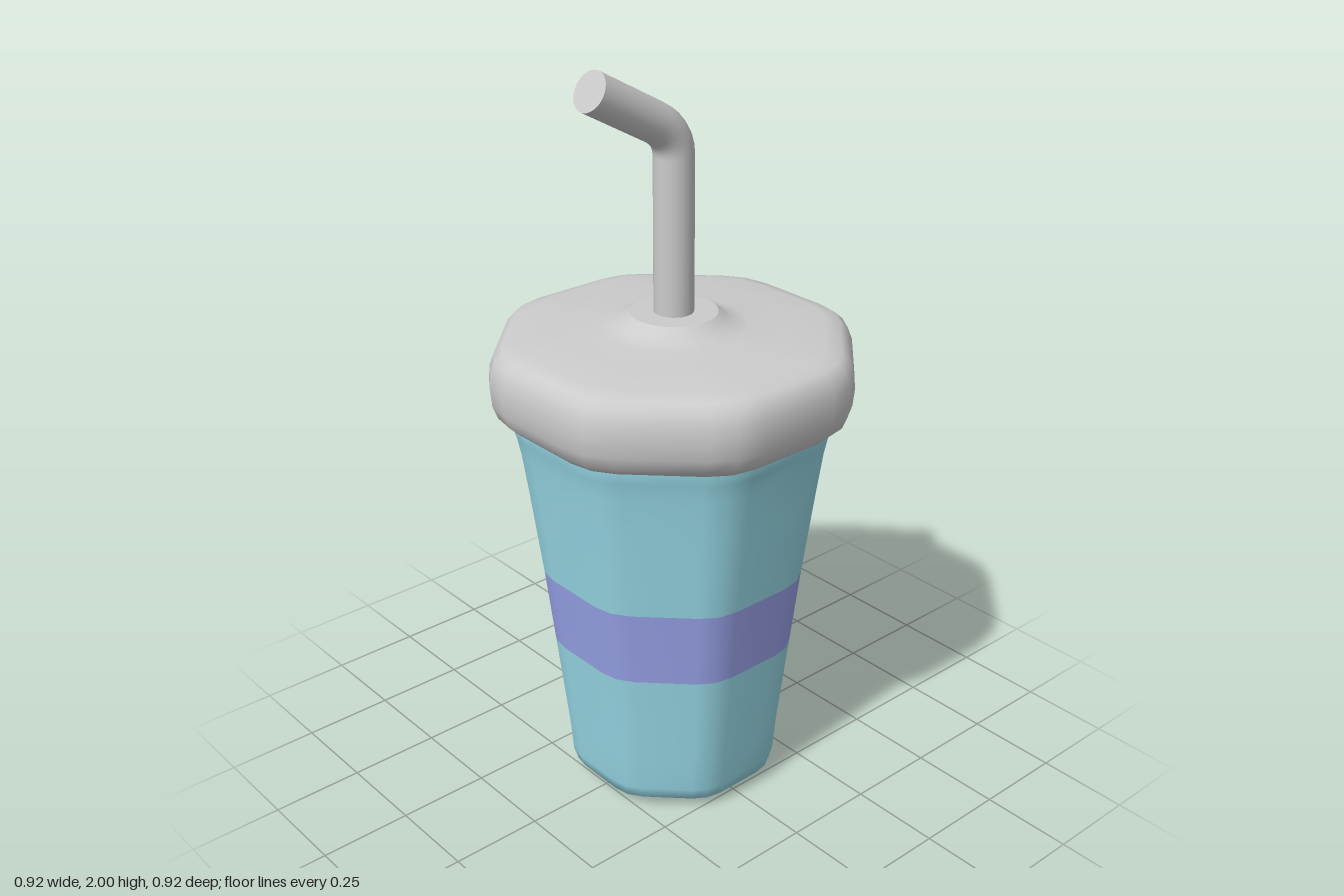
import * as THREE from 'three';

const material = (color) => new THREE.MeshStandardMaterial({ color });
const rad = THREE.MathUtils.degToRad;
const SIDES = 24;

// Point k of a cross-section: an octagon with softened corners, blended to a circle by `round`
function sectionPoint(k, r, y, round) {
  const corner = Math.floor(k / 3);
  const step = (k % 3) - 1;
  const angle = corner * 45 + 22.5 + step * THREE.MathUtils.lerp(8.4, 15, round);
  const radius = r * THREE.MathUtils.lerp(step === 0 ? 1.05 : 1.031, 1, round);
  return [radius * Math.sin(rad(angle)), y, radius * Math.cos(rad(angle))];
}

// Smooth shell through rings [halfWidth, height, roundness], listed bottom to top
function loft(rings) {
  const positions = [];
  for (const [r, y, round = 0] of rings)
    for (let k = 0; k < SIDES; k++) positions.push(...sectionPoint(k, r, y, round));
  const geometry = new THREE.BufferGeometry();
  geometry.setAttribute('position', new THREE.Float32BufferAttribute(positions, 3));
  geometry.setIndex(stripIndex(0, rings.length - 1));
  geometry.computeVertexNormals();
  return geometry;
}

// Faces between two ring numbers
function stripIndex(from, to) {
  const index = [];
  for (let i = from; i < to; i++)
    for (let k = 0; k < SIDES; k++) {
      const a = i * SIDES + k, b = i * SIDES + ((k + 1) % SIDES);
      index.push(a, b, b + SIDES, a, b + SIDES, a + SIDES);
    }
  return index;
}

export function createModel() {
  const model = new THREE.Group();
  const add = (name, geometry, mat, parent = model) => {
    const mesh = new THREE.Mesh(geometry, mat);
    mesh.name = name;
    parent.add(mesh);
    return mesh;
  };
  const grey = material(0xcccccc);
  const blue = material(0x97d8e6);
  const violet = material(0x98a2e8);

  // Cup: one shell cut into three coloured zones that share its normals
  const cupShell = loft([
    [0.001, 0], [0.2, 0.005], [0.24, 0.014], [0.27, 0.033], [0.282, 0.07], [0.29, 0.17],
    [0.32, 0.44], [0.344, 0.655],
    [0.375, 0.9], [0.39, 1.01], [0.4, 1.06], [0.409, 1.09], [0.409, 1.14],
  ]);
  const cup = new THREE.Group();
  cup.name = 'cup';
  model.add(cup);
  const zones = [['lowerCup', 0, 6, blue], ['cupBand', 6, 7, violet], ['upperCup', 7, 12, blue]];
  for (const [name, from, to, mat] of zones) {
    const zone = cupShell.clone();
    zone.setIndex(stripIndex(from, to));
    add(name, zone, mat, cup);
  }

  // Lid: bulging rim, shallow top and a raised round collar
  add('lid', loft([
    [0.37, 1.115], [0.39, 1.095], [0.42, 1.098], [0.443, 1.12], [0.456, 1.155], [0.46, 1.2],
    [0.457, 1.24], [0.445, 1.272], [0.425, 1.291], [0.385, 1.302],
    [0.28, 1.31, 0.35], [0.19, 1.316, 0.8], [0.155, 1.325, 1], [0.13, 1.34, 1], [0.114, 1.353, 1],
  ]), grey);
  const collarTop = add('collarTop', new THREE.CircleGeometry(0.114, SIDES), grey);
  collarTop.rotation.x = -Math.PI / 2;
  collarTop.rotation.z = rad(7.5);
  collarTop.position.y = 1.353;

  // Straw: upright tube with a bent mouthpiece
  const bendStart = new THREE.Vector3(0, 1.755, 0);
  const bendEnd = new THREE.Vector3(-0.065, 1.851, 0);
  const tip = new THREE.Vector3(-0.256, 1.955, 0);
  const path = new THREE.CurvePath();
  path.add(new THREE.LineCurve3(new THREE.Vector3(0, 1.3, 0), bendStart));
  path.add(new THREE.QuadraticBezierCurve3(bendStart, new THREE.Vector3(0, 1.816, 0), bendEnd));
  path.add(new THREE.LineCurve3(bendEnd, tip));
  const straw = new THREE.Group();
  straw.name = 'straw';
  model.add(straw);
  add('strawTube', new THREE.TubeGeometry(path, 40, 0.052, 20), grey, straw);
  const strawEnd = add('strawEnd', new THREE.CircleGeometry(0.052, 20), grey, straw);
  strawEnd.position.copy(tip);
  strawEnd.quaternion.setFromUnitVectors(
    new THREE.Vector3(0, 0, 1), tip.clone().sub(bendEnd).normalize());

  return model;
}
